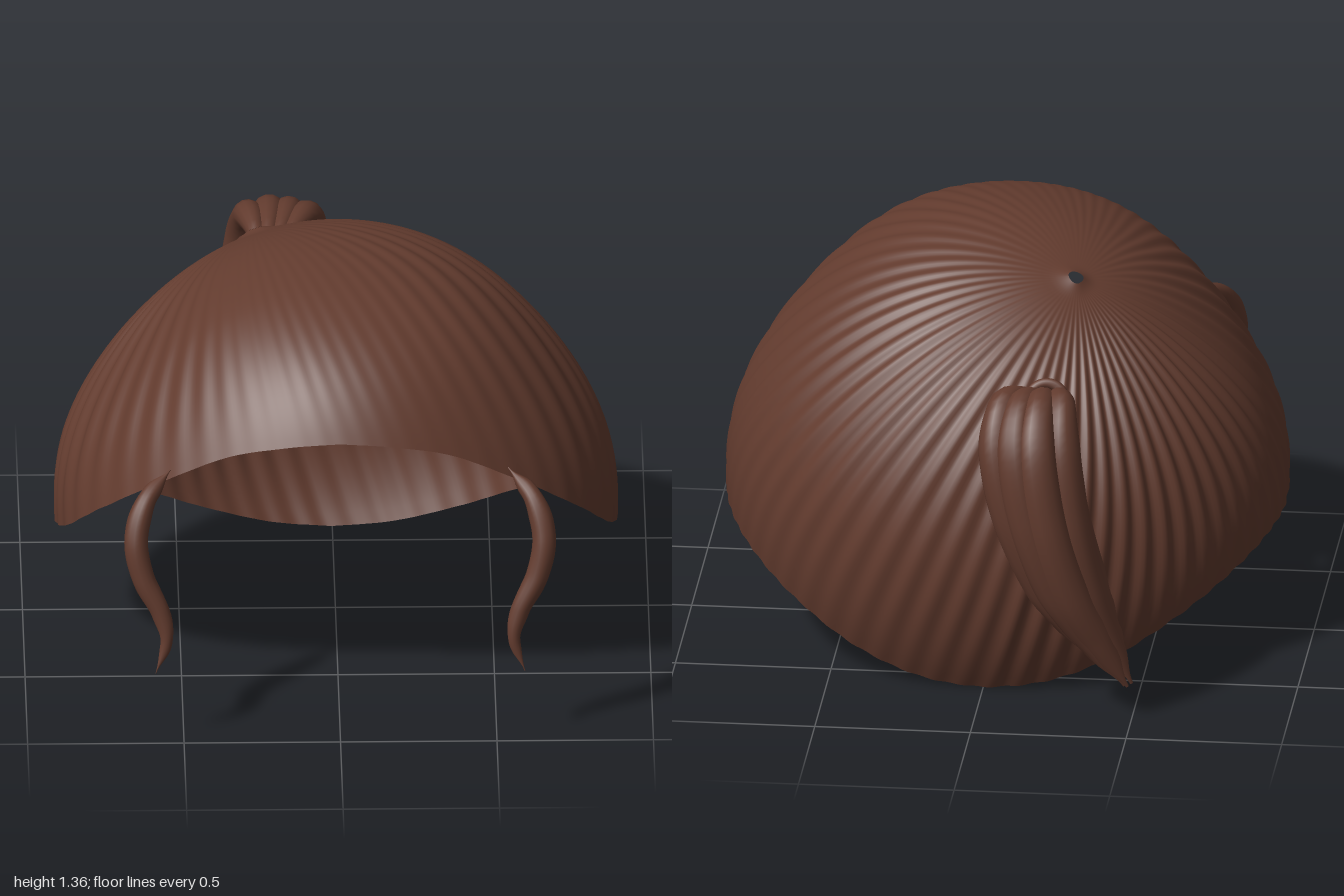
import * as THREE from 'three';

const hair = new THREE.MeshStandardMaterial({ color: 0x623b2e, side: THREE.DoubleSide });
hair.name = 'brown hair';

// Skull ellipsoid: centre and radii (the front is a little deeper than the back)
const C = new THREE.Vector3(0, 0.45, 0.15);
const RX = 0.9, RY = 0.905, RZ_FRONT = 0.908, RZ_BACK = 0.87;

// Hairline height every 15 degrees from the front round to the back
const hairline = new THREE.SplineCurve(
  [1.0, 0.98, 0.925, 0.8, 0.64, 0.48, 0.395, 0.365, 0.305, 0.21, 0.1, 0.025, 0.0]
    .map((y, i) => new THREE.Vector2(i * 15, y)));

// Cap of combed strands running from the crown to the hairline
function capGeometry() {
  const { smoothstep } = THREE.MathUtils;
  const strands = 58, around = strands * 7, down = 48;
  const crown = new THREE.Vector3(-0.3, 0.875, -0.38).normalize();
  const pos = [], index = [];
  for (let v = 0; v <= down; v++) {
    const t = 0.018 + 0.982 * (v / down) ** 1.3;
    for (let u = 0; u < around; u++) {
      const phi = u / around * Math.PI * 2;
      const side = Math.min(phi, Math.PI * 2 - phi) / Math.PI;
      const y = (hairline.getPoint(side).y - C.y) / RY, h = Math.sqrt(1 - y * y);
      const rim = new THREE.Vector3(h * Math.sin(phi), y, h * Math.cos(phi));
      // great-circle path from the crown to the rim
      const angle = crown.angleTo(rim);
      const p = crown.clone().multiplyScalar(Math.sin((1 - t) * angle))
        .addScaledVector(rim, Math.sin(t * angle)).divideScalar(Math.sin(angle));
      // sloping shoulders, more on the right, and a fuller forehead
      const up = Math.max(0, p.y);
      p.x *= 1 - (p.x < 0 ? 0.65 : 0.5) * up ** 3 * (1 - up);
      p.z += up ** 6 * (1 - up) * smoothstep(p.z, 0, 0.3);
      // soft ridges fading at the crown, the front and the hairline; a small lip round the crown
      const ridge = Math.sin(phi * strands + 1.6 * Math.sin(phi * 3));
      const amount = 0.0085 * smoothstep(t, 0.03, 0.5) * (1 - 0.65 * smoothstep(t, 0.75, 1))
        * (0.12 + 0.88 * smoothstep(side, 0.1, 0.45)) * (phi < Math.PI ? 0.7 : 1);
      const lip = 0.03 * Math.max(0, 1 - t / 0.06) ** 2;
      p.multiplyScalar(1 + ridge * amount + lip);
      pos.push(C.x + p.x * RX, C.y + p.y * RY, C.z + p.z * (p.z > 0 ? RZ_FRONT : RZ_BACK));
      if (v < down) {
        const n = (u + 1) % around, a = v * around + u, b = a + around;
        const c = v * around + n, d = c + around;
        index.push(a, b, c, c, b, d);
      }
    }
  }
  const g = new THREE.BufferGeometry();
  g.setAttribute('position', new THREE.Float32BufferAttribute(pos, 3));
  g.setIndex(index);
  g.computeVertexNormals();
  return g;
}

// Tube along points whose thickness follows widths (0..1 of the radius)
function lockGeometry(points, radius, widths) {
  const n = 48, sides = 14;
  const curve = new THREE.CatmullRomCurve3(points.map(p => new THREE.Vector3(...p)));
  const g = new THREE.TubeGeometry(curve, n, radius, sides);
  const pos = g.attributes.position, p = new THREE.Vector3();
  for (let i = 0; i <= n; i++) {
    const f = i / n * (widths.length - 1), k = Math.min(Math.floor(f), widths.length - 2);
    const w = THREE.MathUtils.lerp(widths[k], widths[k + 1], THREE.MathUtils.smoothstep(f - k, 0, 1));
    const centre = curve.getPointAt(i / n);
    for (let j = 0; j <= sides; j++) {
      const id = i * (sides + 1) + j;
      p.fromBufferAttribute(pos, id).sub(centre).multiplyScalar(w).add(centre);
      pos.setXYZ(id, p.x, p.y, p.z);
    }
  }
  return g;
}

export function createModel() {
  const model = new THREE.Group();
  const add = (geometry, name, parent = model) => {
    const m = new THREE.Mesh(geometry, hair);
    m.name = name;
    parent.add(m);
    return m;
  };

  add(capGeometry(), 'hairCap');

  // Wavy locks framing the face
  for (const [s, name] of [[1, 'leftFrontLock'], [-1, 'rightFrontLock']]) {
    const path = [[0.54, 0.855, 0.765], [0.62, 0.79, 0.865], [0.652, 0.68, 0.92], [0.63, 0.56, 0.945],
      [0.573, 0.44, 0.962], [0.555, 0.35, 0.972], [0.59, 0.235, 0.975]];
    add(lockGeometry(path.map(([x, y, z]) => [x * s, y, z]), 0.038,
      [0.05, 0.75, 1, 1, 0.95, 0.8, 0.5, 0.03]), name);
  }

  // Ponytail: outer and inner layers of strands, [z, y, sideways drift, spread]
  const ponytail = new THREE.Group();
  ponytail.name = 'ponytail';
  model.add(ponytail);
  const outer = [[-0.5, 0.94, 0, 0.3], [-0.57, 0.985, 0, 0.35], [-0.67, 1.03, 0.01, 0.65],
    [-0.79, 1.03, 0.02, 0.95], [-0.885, 0.93, 0.02, 1.05], [-0.925, 0.7, -0.02, 0.95],
    [-0.905, 0.45, -0.1, 0.7], [-0.855, 0.27, -0.19, 0.4], [-0.8, 0.1, -0.28, 0.15]];
  const inner = [[-0.5, 0.92, 0, 0.3], [-0.57, 0.96, 0, 0.35], [-0.67, 0.955, 0.01, 0.6],
    [-0.76, 0.9, 0.01, 0.9], [-0.795, 0.78, 0, 0.95], [-0.8, 0.58, -0.05, 0.85],
    [-0.79, 0.38, -0.13, 0.6], [-0.72, 0.16, -0.25, 0.25]];
  const tailWidths = [0.3, 0.42, 0.75, 0.95, 1, 1, 1, 0.85, 0.55, 0.08];
  // pull brings a strand closer to the head where the tail hangs
  const strand = (layer, offset, radius, pull) => add(lockGeometry(
    layer.map(([z, y, drift, spread]) =>
      [-0.2 + drift + offset * spread, y, z + pull * THREE.MathUtils.smoothstep(-z, 0.6, 0.9)]),
    radius, tailWidths), 'ponytailStrand', ponytail);
  strand(outer, -0.09, 0.066, 0.04);
  strand(outer, -0.02, 0.07, 0);
  strand(outer, 0.045, 0.066, 0.01);
  strand(outer, 0.105, 0.066, 0.05);
  strand(inner, -0.075, 0.072, 0);
  strand(inner, 0.01, 0.07, 0);
  strand(inner, 0.09, 0.066, -0.01);

  // Band tying the ponytail to the cap
  for (const k of [0, 1]) {
    const band = add(new THREE.TorusGeometry(0.058, 0.017, 10, 32), 'hairBand', ponytail);
    band.position.set(-0.2, 0.965 + 0.012 * k, -0.55 - 0.02 * k);
    band.rotation.x = 0.5;
  }
  return model;
}
